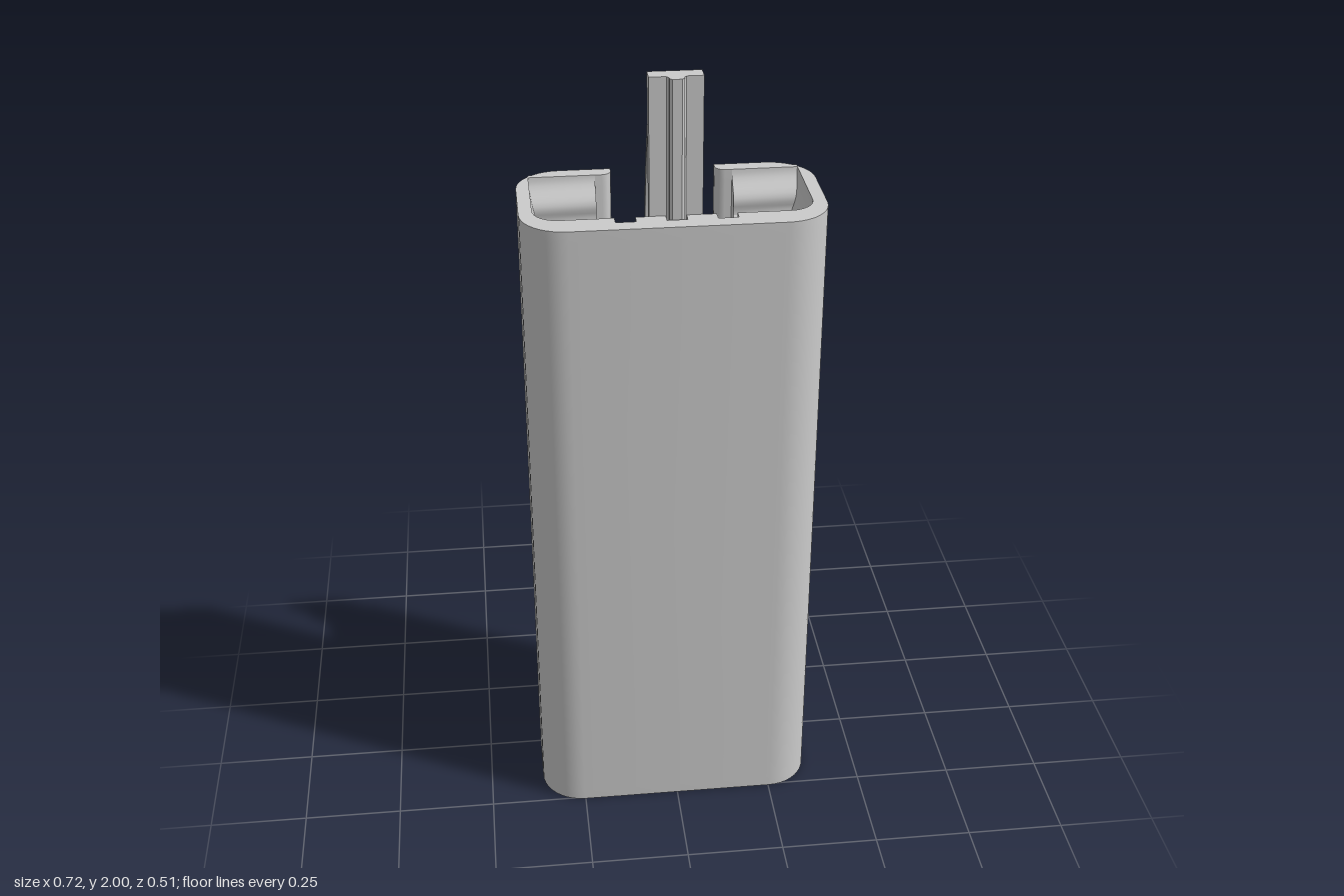
import * as THREE from 'three';
import { toCreasedNormals } from 'three/addons/utils/BufferGeometryUtils.js';

const material = new THREE.MeshStandardMaterial({ color: 0xcccccc });
const H = 1.67; // case height

function add(group, name, geometry) {
  const mesh = new THREE.Mesh(geometry, material);
  mesh.name = name;
  group.add(mesh);
  return mesh;
}

// Points on an arc in the (x, z) plane, angles in degrees
function arc(cx, cz, r, from, to, n = 8) {
  return Array.from({ length: n + 1 }, (_, i) => {
    const a = THREE.MathUtils.degToRad(from + (to - from) * i / n);
    return [cx + r * Math.cos(a), cz + r * Math.sin(a)];
  });
}

const mirrored = (pts) => pts.map(([x, z]) => [-x, z]).reverse();

// Solid from closed (x, z) rings stacked along y
function loft(ringAt, levels) {
  const rings = levels.map((y) => ringAt(y).map(([x, z]) => new THREE.Vector3(x, y, z)));
  const out = [];
  const tri = (...vs) => vs.forEach((v) => out.push(v.x, v.y, v.z));
  const n = rings[0].length;
  for (let k = 0; k < rings.length - 1; k++) {
    const lo = rings[k], hi = rings[k + 1];
    for (let i = 0; i < n; i++) {
      const j = (i + 1) % n;
      tri(lo[i], hi[i], hi[j]);
      tri(lo[i], hi[j], lo[j]);
    }
  }
  const cap = (ring, up) => {
    const flat = ring.map((v) => new THREE.Vector2(v.x, v.z));
    for (const [a, b, c] of THREE.ShapeUtils.triangulateShape(flat, [])) {
      if (up) tri(ring[a], ring[c], ring[b]);
      else tri(ring[a], ring[b], ring[c]);
    }
  };
  cap(rings[0], false);
  cap(rings[rings.length - 1], true);
  const g = new THREE.BufferGeometry();
  g.setAttribute('position', new THREE.Float32BufferAttribute(out, 3));
  g.computeVertexNormals();
  return toCreasedNormals(g, 0.5);
}

// (z, y) profile extruded along x from x0 to x1
function sideExtrude(pts, x0, x1) {
  const shape = new THREE.Shape(pts.map(([z, y]) => new THREE.Vector2(z, y)));
  const g = new THREE.ExtrudeGeometry(shape, { depth: x1 - x0, bevelEnabled: false });
  g.rotateY(-Math.PI / 2);
  g.translate(x1, 0, 0);
  return toCreasedNormals(g, 0.5);
}

// Case section: C channel with three front grooves and flared side walls
function caseRing(y) {
  const d = Math.min(y, H - y);
  const w = 0.29 + 0.038 * (1 - THREE.MathUtils.smoothstep(d, 0, 0.22));
  const outer = [
    [0.127, -0.115],
    ...arc(0.252, -0.007, 0.108, -90, 0, 10),
    ...arc(0.252, 0.147, 0.108, 0, 90, 10),
  ];
  const inner = [
    [0.024, 0.214], [0.024, 0.188], [0.094, 0.188], [0.094, 0.214], [0.142, 0.214], [0.142, 0.188],
    ...arc(w - 0.06, 0.128, 0.06, 90, 0),
    [w, -0.077],
    ...arc(0.15, -0.1, 0.023, 90, 180, 5),
  ];
  return [...outer, ...mirrored(outer), ...mirrored(inner), ...inner];
}

// Slider section: arch on two legs with a rear fin and front guide tabs
function sliderRing() {
  const half = [
    [0.02, -0.258], [0.028, -0.25], [0.028, -0.12],
    ...arc(0.075, -0.075, 0.045, -90, 0, 6),
    [0.125, -0.071], [0.145, -0.071], [0.152, -0.064],
    [0.152, 0.18], [0.147, 0.187], [0.135, 0.187], [0.135, 0.208],
    [0.101, 0.208], [0.101, 0.187], [0.09, 0.187], [0.085, 0.182],
    ...arc(0.045, -0.025, 0.04, 0, -90, 6),
  ];
  return [...half, ...mirrored(half)];
}

export function createModel() {
  const model = new THREE.Group();
  model.name = 'slidingCase';

  // Outer case
  const levels = [0];
  for (let i = 1; i <= 8; i++) levels.push(0.22 * i / 8);
  levels.push(...levels.map((y) => H - y).reverse());
  add(model, 'case', loft(caseRing, levels));

  // Wavy notched racks on the inside of the rear lips
  const rack = [[-0.09, H], [-0.09, 0]];
  const steps = 160;
  for (let i = 0; i <= steps; i++) {
    const y = H * i / steps;
    const rise = THREE.MathUtils.smoothstep(Math.min(y, H - y), 0, 0.15);
    const wave = 0.085 + 0.039 * Math.cos(2 * Math.PI * (y - H / 2) / 0.133);
    rack.push([-0.077 + rise * wave, y]);
  }
  add(model, 'leftRack', sideExtrude(rack, 0.167, 0.328));
  add(model, 'rightRack', sideExtrude(rack, -0.328, -0.167));

  // Slider with thumb fin
  add(model, 'slider', loft(sliderRing, [0.31, 1.17]));

  // Cross pins through the slider legs
  [[1.02, 0.039, 0.034, 0.29], [0.76, 0.095, 0.022, 0.29], [0.48, 0.106, 0.034, 0.278]].forEach(([y, z, r, half]) => {
    const pin = new THREE.CylinderGeometry(r, r, half * 2, 24);
    pin.rotateZ(Math.PI / 2);
    add(model, 'crossPin', pin).position.set(0, y, z);
  });

  // Rod: straight bar running in the middle groove
  const rod = new THREE.Group();
  rod.name = 'rod';
  model.add(rod);
  add(rod, 'rodBar', sideExtrude([[0.158, 0.3], [0.187, 0.3], [0.187, 2], [0.148, 2], [0.148, 1.93], [0.158, 1.85]], -0.062, 0.062));
  const rib = [[0.024, 0.18], [0.022, 0.19], [0.017, 0.194], [0.017, 0.203], [0.011, 0.208]];
  add(rod, 'rodRib', loft(() => [...rib, ...mirrored(rib)], [0.3, 2]));

  // Bowed spring leaf behind the rod
  const curve = (pts) => new THREE.SplineCurve(pts.map((p) => new THREE.Vector2(...p))).getPoints(32).map((p) => [p.x, p.y]);
  const back = curve([[0.15, 1.95], [0.143, 1.9], [0.118, 1.83], [0.09, 1.75], [0.07, 1.67], [0.063, 1.6], [0.075, 1.5], [0.11, 1.38], [0.16, 1.27]]);
  const front = curve([[0.165, 1.33], [0.13, 1.39], [0.095, 1.5], [0.083, 1.6], [0.088, 1.67], [0.108, 1.75], [0.135, 1.83], [0.153, 1.86], [0.165, 1.85]]);
  add(rod, 'springLeaf', sideExtrude([...back, ...front, [0.165, 1.95]], -0.061, 0.061));

  return model;
}
